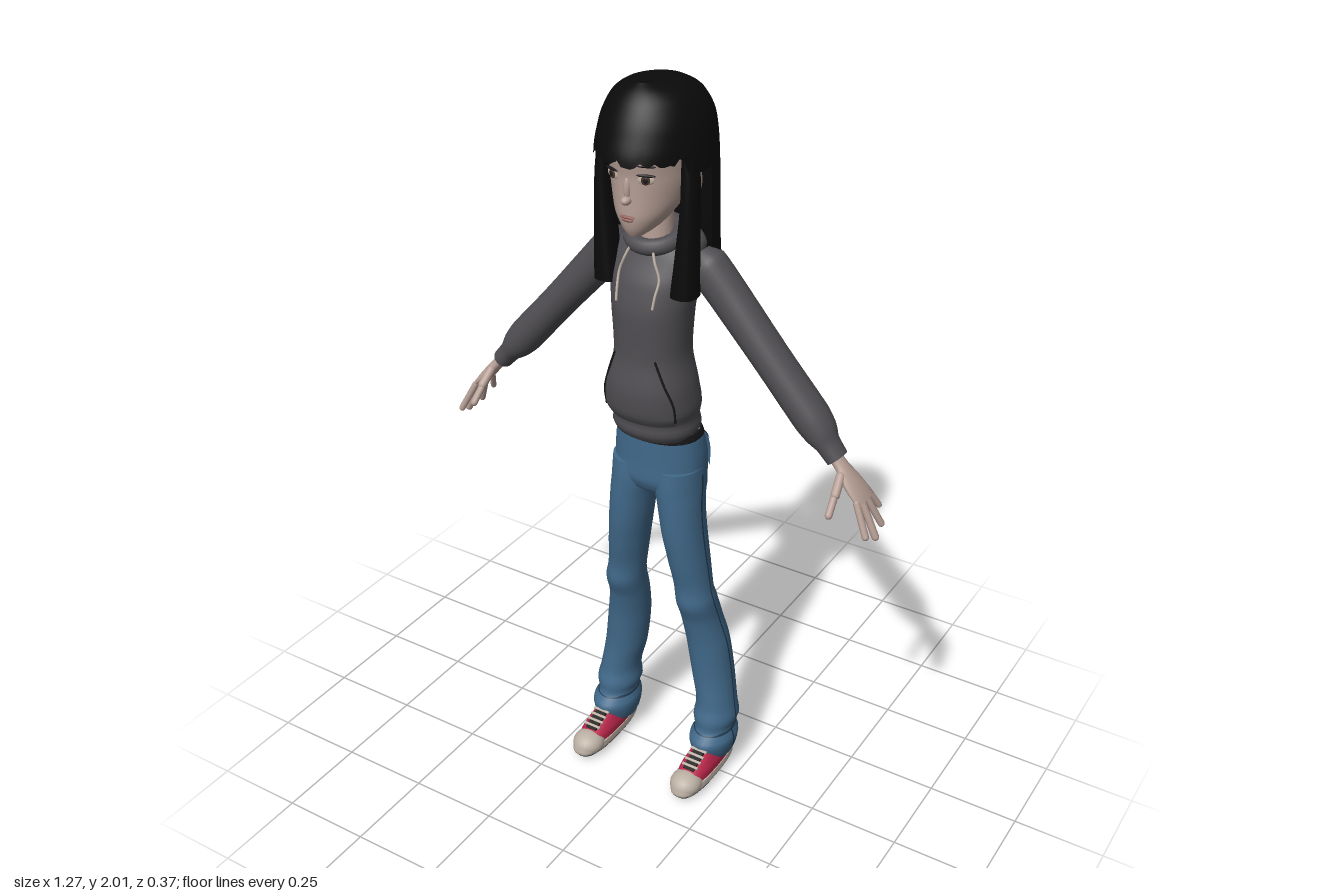
import * as THREE from 'three';

const mat = (name, color, side = THREE.FrontSide) => {
  const m = new THREE.MeshStandardMaterial({ color, side });
  m.name = name;
  return m;
};

// Cross-section [x0, x1, z0, z1] at height y, from rows of [y, x0, x1, z0, z1] listed upwards
function sectionAt(rows, y) {
  let i = 0;
  while (i < rows.length - 2 && y > rows[i + 1][0]) i++;
  const slope = (j, k) => (rows[j + 1][k] - rows[j][k]) / (rows[j + 1][0] - rows[j][0]);
  const tangent = (j, k) => {
    if (j === 0) return slope(0, k);
    if (j === rows.length - 1) return slope(j - 1, k);
    const a = slope(j - 1, k), b = slope(j, k);
    return a * b <= 0 ? 0 : (2 * a * b) / (a + b);
  };
  const h = rows[i + 1][0] - rows[i][0], t = THREE.MathUtils.clamp((y - rows[i][0]) / h, 0, 1);
  return [1, 2, 3, 4].map((k) => {
    const p = rows[i][k], q = rows[i + 1][k], s = t * t * (3 - 2 * t);
    return p + (q - p) * s + h * (tangent(i, k) * t * (1 - t) ** 2 - tangent(i + 1, k) * t * t * (1 - t));
  });
}

// Point on the lofted surface: angle 0 is +x, PI/2 is the front
function surfacePoint(rows, a, y, off = 0, e = 1) {
  const [x0, x1, z0, z1] = sectionAt(rows, y);
  const c = Math.cos(a), s = Math.sin(a);
  return [
    (x0 + x1) / 2 + ((x1 - x0) / 2 + off) * Math.sign(c) * Math.abs(c) ** e, y,
    (z0 + z1) / 2 + ((z1 - z0) / 2 + off) * Math.sign(s) * Math.abs(s) ** e,
  ];
}

// Closed loft, or an open patch when an arc is given
function loft(rows, o = {}) {
  const { arc, off = 0, e = 1, nA = 32, nY = 30, ease = 1, caps = !arc } = o;
  const [a0, a1] = arc || [0, Math.PI * 2];
  const low = o.low || (() => rows[0][0]), high = o.high || (() => rows[rows.length - 1][0]);
  const cols = arc ? nA + 1 : nA, pos = [], idx = [];
  for (let j = 0; j <= nY; j++) for (let i = 0; i < cols; i++) {
    const a = a0 + ((a1 - a0) * i) / nA, b = low(a), t = high(a);
    pos.push(...surfacePoint(rows, a, t + (b - t) * (1 - j / nY) ** ease, off, e));
  }
  for (let j = 0; j < nY; j++) for (let i = 0; i < nA; i++) {
    const p = j * cols + i, q = j * cols + ((i + 1) % cols);
    idx.push(p, p + cols, q, q, p + cols, q + cols);
  }
  const cap = (j, up) => {
    const base = pos.length / 3, mid = [0, 0, 0];
    for (let i = 0; i < cols; i++) for (let k = 0; k < 3; k++) {
      const v = pos[(j * cols + i) * 3 + k];
      pos.push(v);
      mid[k] += v / cols;
    }
    pos.push(...mid);
    for (let i = 0; i < cols; i++) {
      const p = base + i, q = base + ((i + 1) % cols);
      idx.push(base + cols, up ? q : p, up ? p : q);
    }
  };
  if (caps) { if (!o.openBottom) cap(0, false); cap(nY, true); }
  const g = new THREE.BufferGeometry();
  g.setAttribute('position', new THREE.Float32BufferAttribute(pos, 3));
  g.setIndex(idx);
  g.computeVertexNormals();
  return g;
}

const sym = (rows) => rows.map(([y, w, z0, z1]) => [y, -w, w, z0, z1]);
const mirror = (rows, s) => (s > 0 ? rows : rows.map(([y, a, b, c, d]) => [y, -b, -a, c, d]));

const HEAD = sym([[1.643, .02, .09, .13], [1.66, .042, .03, .14], [1.7, .072, -.03, .147], [1.74, .09, -.09, .147],
  [1.79, .1, -.11, .148], [1.84, .103, -.12, .155], [1.9, .1, -.11, .14], [1.95, .07, -.07, .1]]);
const HAIR = sym([[1.49, .138, -.182, .16], [1.6, .138, -.168, .17], [1.75, .139, -.162, .185], [1.83, .137, -.158, .188],
  [1.9, .13, -.145, .167], [1.96, .105, -.11, .135], [1.985, .075, -.07, .112], [2, .03, -.02, .09]]);
const LOCK = [[1.49, .075, .142, .025, .1], [1.6, .088, .141, .03, .095], [1.75, .1, .139, .03, .088], [1.87, .1, .128, .03, .08]];
const TORSO = sym([[1.075, .105, -.075, .1], [1.1, .115, -.086, .115], [1.125, .111, -.08, .113], [1.16, .118, -.085, .132],
  [1.22, .113, -.075, .138], [1.32, .097, -.06, .125], [1.42, .103, -.062, .126], [1.5, .115, -.066, .11],
  [1.56, .122, -.062, .08], [1.6, .09, -.05, .06], [1.62, .05, -.03, .045]]);
const SLEEVE = sym([[-.565, .027, -.037, .027], [-.53, .029, -.041, .029], [-.52, .03, -.043, .03], [-.495, .04, -.055, .036],
  [-.44, .047, -.062, .04], [-.3, .046, -.06, .041], [-.1, .05, -.058, .042], [0, .052, -.055, .045], [.035, .03, -.03, .03]]);
const PALM = sym([[-.69, .009, -.045, .038], [-.66, .013, -.044, .038], [-.62, .015, -.035, .033], [-.58, .015, -.024, .02], [-.54, .016, -.022, .018]]);
const PELVIS = sym([[.89, .04, -.03, .04], [.91, .1, -.07, .072], [.95, .127, -.095, .086], [1, .126, -.1, .085],
  [1.05, .12, -.09, .085], [1.085, .112, -.076, .085]]);
const LEG = [[.04, .112, .214, -.1, .04], [.06, .105, .222, -.11, .05], [.1, .1, .228, -.115, .06], [.13, .112, .215, -.1, .032],
  [.16, .101, .225, -.115, .032], [.2, .105, .218, -.11, .02], [.3, .085, .203, -.115, .013], [.4, .071, .19, -.11, .018],
  [.5, .062, .172, -.088, .035], [.57, .058, .166, -.066, .058], [.6, .055, .159, -.058, .056], [.7, .04, .148, -.06, .072],
  [.8, .024, .138, -.06, .085], [.88, .012, .132, -.064, .087], [.92, .002, .13, -.08, .087], [.98, .004, .127, -.085, .083]];
const SOLE = [[.004, .12, .211, -.1, .176], [.012, .117, .214, -.103, .18], [.028, .118, .212, -.102, .177]];
const SHOE = [[.02, .12, .21, -.1, .165], [.045, .121, .209, -.1, .145], [.06, .126, .204, -.098, .115],
  [.08, .132, .198, -.095, .065], [.1, .137, .193, -.09, .03]];

export function createModel() {
  const model = new THREE.Group();
  model.name = 'girl';
  const D = THREE.DoubleSide;
  const hair = mat('hair black', 0x0a0a0b, D), hoodie = mat('hoodie grey', 0x504e52, D), denim = mat('denim blue', 0x41698a, D);
  const seam = mat('seam blue', 0x223a50, D), skin = mat('skin', 0xb7a096), cream = mat('rubber cream', 0xbcb0a4);
  const pink = mat('shoe pink', 0xb8264a), black = mat('black', 0x18181a, D), lip = mat('lip', 0x94645f), iris = mat('iris brown', 0x4a3428);
  const add = (name, geo, m, parent = model) => {
    const mesh = new THREE.Mesh(geo, m);
    mesh.name = name;
    parent.add(mesh);
    return mesh;
  };
  const ball = (name, m, p, r, parent) => {
    const b = add(name, new THREE.SphereGeometry(1, 20, 14), m, parent);
    b.position.set(...p);
    b.scale.set(...r);
    return b;
  };
  const tube = (name, pts, r, m, parent) =>
    add(name, new THREE.TubeGeometry(new THREE.CatmullRomCurve3(pts.map((p) => new THREE.Vector3(...p))), 20, r, 8), m, parent);
  const finger = (name, a, b, r, parent) => {
    const p = new THREE.Vector3(...a), q = new THREE.Vector3(...b), d = q.clone().sub(p);
    const f = add(name, new THREE.CapsuleGeometry(r, d.length() - r, 5, 10), skin, parent);
    f.position.copy(p).add(q).multiplyScalar(.5);
    f.quaternion.setFromUnitVectors(new THREE.Vector3(0, 1, 0), d.normalize());
  };

  // Head and face
  add('head', loft(HEAD), skin);
  const neck = add('neck', new THREE.CylinderGeometry(.04, .046, .2, 20), skin);
  neck.position.set(0, 1.6, .015);
  ball('nose', skin, [0, 1.738, .149], [.012, .011, .016]);
  ball('noseBridge', skin, [0, 1.765, .143], [.009, .032, .011]);
  ball('upperLip', lip, [0, 1.696, .146], [.02, .004, .006]);
  ball('lowerLip', lip, [0, 1.689, .146], [.016, .005, .006]);
  for (const s of [1, -1]) {
    const onFace = (name, m, x, y, off, r) => {
      const a = Math.acos((s * x) / .1), [px, , pz] = surfacePoint(HEAD, a, y, off);
      ball(name, m, [px, y, pz], r).rotation.y = s * .35;
    };
    onFace('eyeWhite', cream, .044, 1.792, 0, [.021, .012, .004]);
    onFace('iris', iris, .044, 1.792, .003, [.011, .0115, .003]);
    onFace('pupil', black, .044, 1.792, .005, [.006, .007, .002]);
    onFace('upperLash', black, .045, 1.803, .002, [.023, .0035, .004]);
    onFace('eyebrow', hair, .046, 1.826, .001, [.024, .003, .003]);
    ball('ear', skin, [s * .106, 1.765, .012], [.014, .036, .022]).rotation.y = s * .3;
  }

  // Hair: cap with ragged fringe, front locks and long back curtain
  const ragged = (a, k) => .012 * Math.abs(Math.sin(a * k) + .6 * Math.sin(a * k * 2.3));
  add('hairCap', loft(HAIR, { nA: 80, nY: 18, ease: 1.5, openBottom: true,
    low: (a) => (Math.sin(a) > .45 ? 1.828 + ragged(a, 9) : 1.8) }), hair);
  add('hairCurtain', loft(HAIR, { arc: [Math.PI + .1, Math.PI * 2 - .1], nA: 48, high: () => 1.84, low: (a) => 1.493 + .6 * ragged(a, 8) }), hair);
  for (const s of [1, -1]) add('frontLock', loft(mirror(LOCK, s), { e: .8 }), hair);

  // Hoodie body, collar, pocket and drawstrings
  add('hoodieBody', loft(TORSO, { nA: 40, nY: 44, e: .9 }), hoodie);
  const collar = add('hoodCollar', new THREE.TorusGeometry(.06, .021, 12, 32), hoodie);
  collar.position.set(0, 1.612, .018);
  collar.rotation.x = Math.PI / 2 + .25;
  ball('hood', hoodie, [0, 1.57, -.065], [.09, .055, .045]);
  const mid = Math.PI / 2;
  add('pocket', loft(TORSO, { arc: [mid - .95, mid + .95], off: .007, e: .9, nA: 24, nY: 14,
    low: () => 1.135, high: (a) => 1.33 - .13 * Math.max(0, (Math.abs(a - mid) - .5) / .45) }), hoodie);
  for (const s of [1, -1]) {
    const edge = [[.93, 1.15], [.93, 1.2], [.75, 1.26], [.55, 1.32]];
    tube('pocketEdge', edge.map(([d, y]) => surfacePoint(TORSO, mid - s * d, y, .008, .9)), .003, black);
    tube('drawstring', [[s * .03, 1.6, .083], [s * .042, 1.57, .093], ...[1.53, 1.49, 1.46].map((y) => surfacePoint(TORSO, mid - s * .42, y, .007, .9))], .0035, cream);
  }

  // Arms: sleeve, cuff line, hand
  for (const s of [1, -1]) {
    const arm = new THREE.Group();
    arm.name = s > 0 ? 'leftArm' : 'rightArm';
    arm.position.set(s * .13, 1.55, 0);
    arm.rotation.z = s * .722;
    model.add(arm);
    add('sleeve', loft(SLEEVE, { nA: 28, nY: 40 }), hoodie, arm);
    const hand = new THREE.Group();
    hand.name = 'hand';
    arm.add(hand);
    const palm = loft(PALM, { nA: 24, nY: 14 });
    add('palm', palm, skin, hand);
    finger('indexFinger', [0, -.675, .03], [-s * .024, -.765, .05], .009, hand);
    finger('middleFinger', [0, -.68, .008], [-s * .03, -.785, .008], .0095, hand);
    finger('ringFinger', [0, -.675, -.016], [-s * .03, -.772, -.043], .009, hand);
    finger('littleFinger', [0, -.665, -.036], [-s * .024, -.732, -.07], .008, hand);
    finger('thumbBase', [0, -.6, .018], [-s * .022, -.635, .062], .012, hand);
    finger('thumbTip', [-s * .02, -.63, .056], [-s * .045, -.665, .098], .0095, hand);
  }

  // Jeans
  add('jeansSeat', loft(PELVIS, { e: .9 }), denim);
  add('belt', loft(PELVIS, { off: .003, e: .9, nY: 2, low: () => 1.066, high: () => 1.085 }), black);
  for (const s of [1, -1]) {
    const leg = mirror(LEG, s), out = s > 0 ? 0 : Math.PI, back = -mid + s * .62;
    add('trouserLeg', loft(leg, { nA: 32, nY: 70 }), denim);
    add('sideSeam', loft(leg, { arc: [out - .04, out + .04], off: .002, nA: 2, nY: 60, low: () => .07, high: () => .96 }), seam);
    add('hemLine', loft(leg, { off: .002, nY: 2, caps: false, low: () => .122, high: () => .128 }), seam);
    add('backPocket', loft(PELVIS, { arc: [back - .38, back + .38], off: .007, e: .9, nA: 10, nY: 8, low: () => .955, high: () => 1.04 }), denim);
    add('backPocketTop', loft(PELVIS, { arc: [back - .38, back + .38], off: .009, e: .9, nA: 10, nY: 1, low: () => 1.034, high: () => 1.04 }), seam);

    // Shoe: sole, upper, toe cap, tongue and laces
    const shoe = new THREE.Group();
    shoe.name = s > 0 ? 'leftShoe' : 'rightShoe';
    model.add(shoe);
    add('sole', loft(mirror(SOLE, s), { e: .75, nY: 8 }), cream, shoe);
    add('tread', loft(mirror([[0, .122, .209, -.098, .173], [.005, .12, .211, -.1, .176]], s), { e: .75, nY: 1 }), black, shoe);
    add('upper', loft(mirror(SHOE, s), { e: .8, nY: 16 }), pink, shoe);
    ball('toeCap', cream, [s * .165, .022, .126], [.0455, .036, .05], shoe);
    const plate = (name, m, w, h, d, y, z) => {
      const b = add(name, new THREE.BoxGeometry(w, h, d), m, shoe);
      b.position.set(s * .165, y, z);
      b.rotation.x = .42;
    };
    plate('tongue', black, .034, .008, .075, .073, .082);
    for (let i = 0; i < 4; i++) plate('lace', cream, .05, .005, .007, .088 - i * .0075, .059 + i * .016);
  }
  return model;
}
